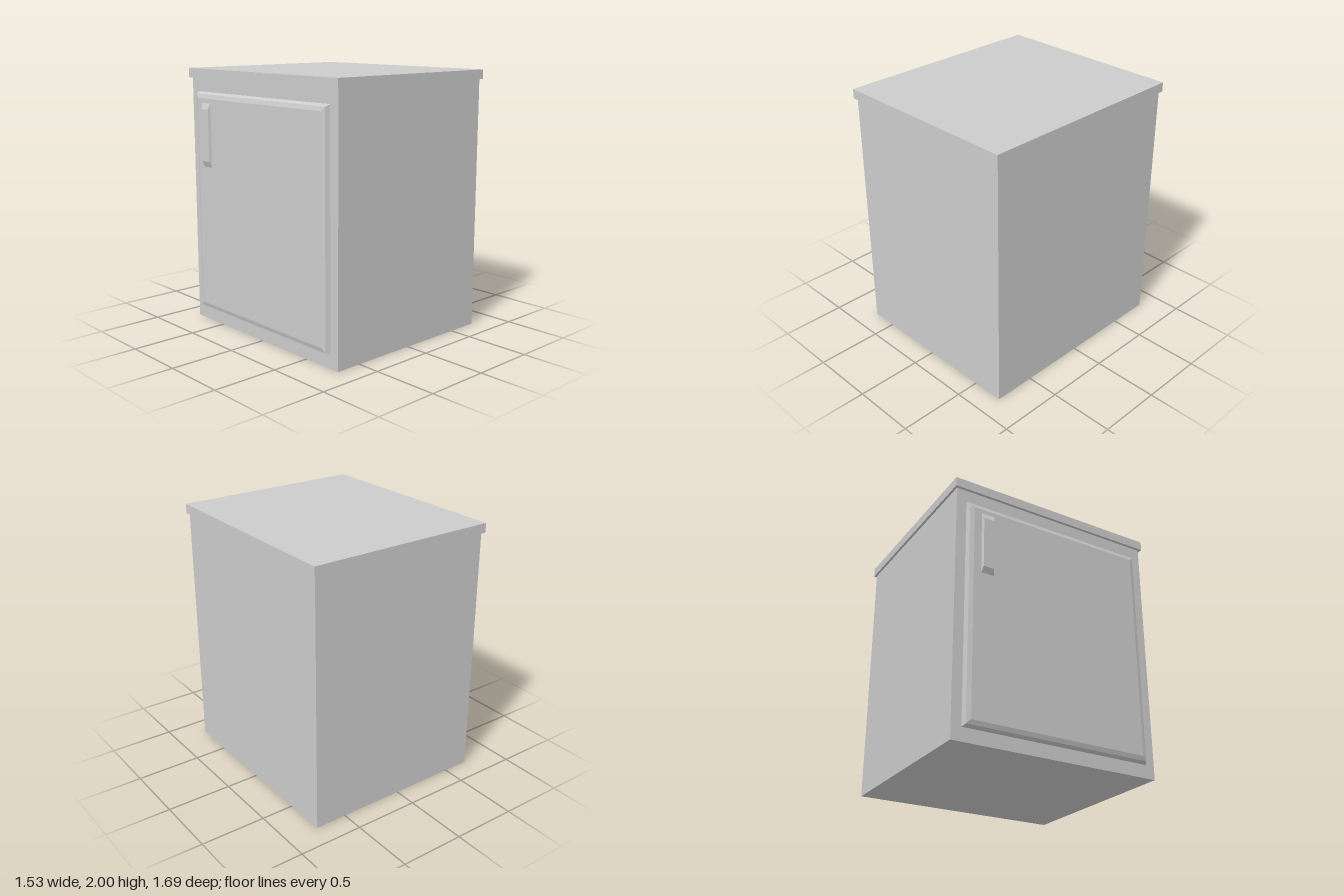
import * as THREE from 'three';

const material = new THREE.MeshStandardMaterial({ color: 0xcccccc, flatShading: true });

// Box given by its minimum and maximum corners
function box(name, min, max) {
  const size = max.map((v, i) => v - min[i]);
  const mesh = new THREE.Mesh(new THREE.BoxGeometry(...size), material);
  mesh.position.set(...max.map((v, i) => (v + min[i]) / 2));
  mesh.name = name;
  return mesh;
}

// Stepped panel growing towards -x; each section is [x, halfHeight, halfWidth]
function panel(name, sections, y, z) {
  const positions = [];
  const index = [];
  for (const [x, h, w] of sections) {
    positions.push(x, -h, -w, x, -h, w, x, h, w, x, h, -w);
  }
  for (let s = 0; s < sections.length - 1; s++) {
    for (let k = 0; k < 4; k++) {
      const a = s * 4 + k;
      const b = s * 4 + (k + 1) % 4;
      index.push(a, b, b + 4, a, b + 4, a + 4);
    }
  }
  // Closing faces, outer and inner
  const e = (sections.length - 1) * 4;
  index.push(e, e + 1, e + 2, e, e + 2, e + 3, 0, 2, 1, 0, 3, 2);
  const indexed = new THREE.BufferGeometry();
  indexed.setAttribute('position', new THREE.Float32BufferAttribute(positions, 3));
  indexed.setIndex(index);
  const geometry = indexed.toNonIndexed();
  geometry.computeVertexNormals();
  const mesh = new THREE.Mesh(geometry, material);
  mesh.position.set(0, y, z);
  mesh.name = name;
  return mesh;
}

export function createModel() {
  const model = new THREE.Group();
  model.name = 'cabinet';

  // Carcass and overhanging worktop
  model.add(box('body', [-0.705, 0, -0.825], [0.747, 1.928, 0.825]));
  model.add(box('worktop', [-0.727, 1.928, -0.843], [0.764, 2, 0.843]));

  // Door with bevelled rim on the -x side
  model.add(panel('door', [
    [-0.705, 0.862, 0.747],
    [-0.737, 0.847, 0.732],
    [-0.747, 0.815, 0.7],
  ], 0.963, 0));

  // Handle tapering outwards, near the upper back corner of the door
  model.add(panel('handle', [
    [-0.745, 0.25, 0.052],
    [-0.767, 0.2, 0.042],
  ], 1.5, -0.59));

  return model;
}
